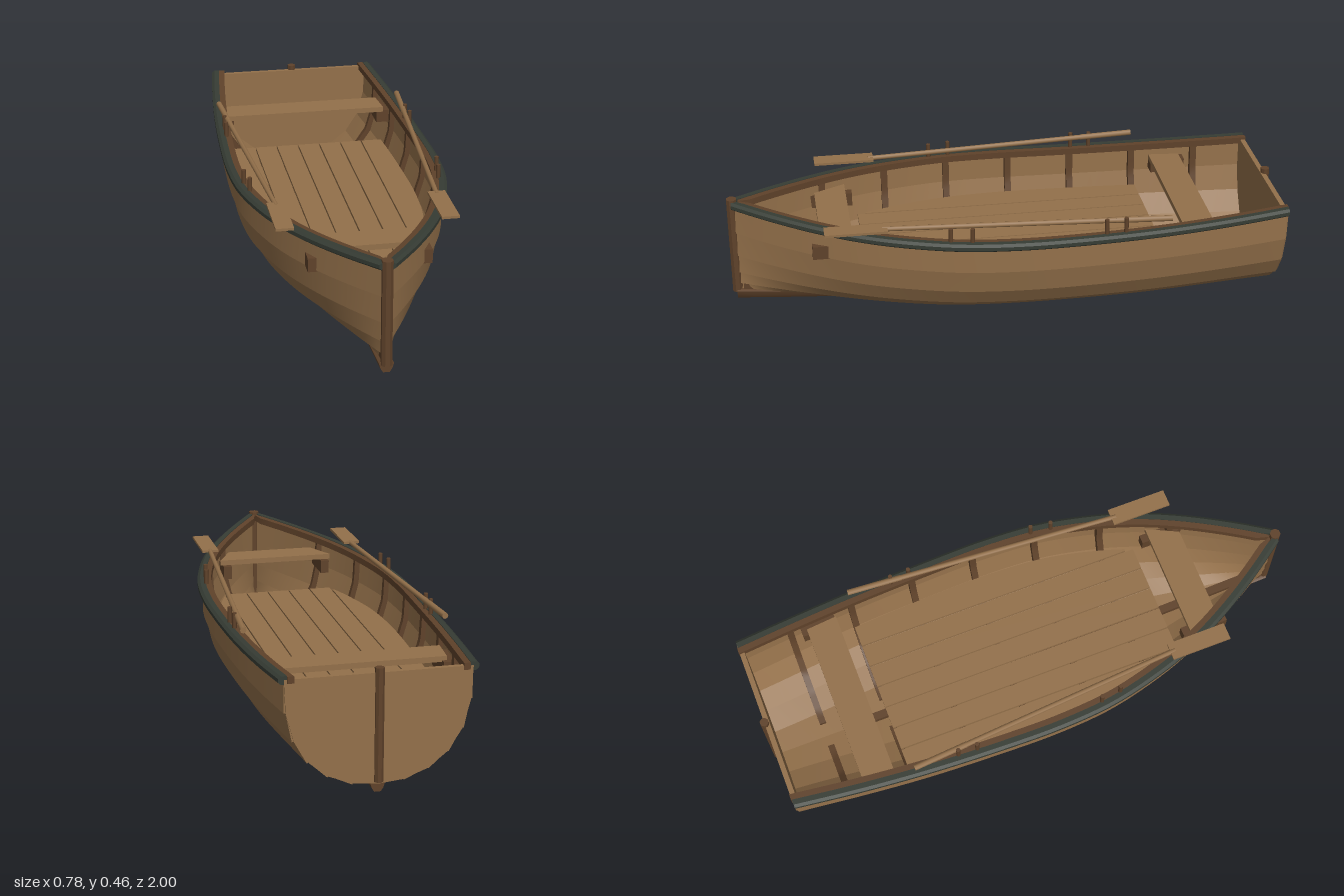
import * as THREE from 'three';
import { toCreasedNormals } from 'three/addons/utils/BufferGeometryUtils.js';

const mat = (name, color) => {
  const m = new THREE.MeshStandardMaterial({ color });
  m.name = name;
  return m;
};

// Smooth interpolation through [z, value] pairs
function curveOf(pts) {
  const slope = i => {
    const a = pts[Math.max(i - 1, 0)], b = pts[Math.min(i + 1, pts.length - 1)];
    return (b[1] - a[1]) / (b[0] - a[0]);
  };
  return z => {
    let i = 0;
    while (i < pts.length - 2 && z > pts[i + 1][0]) i++;
    const [z0, a] = pts[i], [z1, b] = pts[i + 1], h = z1 - z0, t = (z - z0) / h;
    const t2 = t * t, t3 = t2 * t;
    return (2 * t3 - 3 * t2 + 1) * a + (t3 - 2 * t2 + t) * h * slope(i)
      + (3 * t2 - 2 * t3) * b + (t3 - t2) * h * slope(i + 1);
  };
}

// Hull lines: half beam, sheer height, bottom height
const beam = curveOf([[-0.98, 0.312], [-0.75, 0.337], [-0.5, 0.357], [-0.2, 0.37], [0, 0.372], [0.2, 0.357],
  [0.4, 0.312], [0.55, 0.26], [0.7, 0.187], [0.85, 0.097], [0.98, 0.008]]);
const sheer = z => 0.398 + (z > -0.2 ? 0.05 * ((z + 0.2) / 1.18) ** 2 : 0.026 * ((z + 0.2) / 0.78) ** 2);
const bottom = z => 0.032 + 0.053 * (Math.max(0, z + 0.3) / 1.28) ** 2;
const U = [0, 0.336, 0.59, 0.78, 0.914, 0.985, 1];
const V = [0, 0.022, 0.104, 0.243, 0.443, 0.7, 1];
const bow = z => THREE.MathUtils.smoothstep(z, 0.2, 1);
const fullness = z => 1 + 0.5 * bow(z) + 0.2 * THREE.MathUtils.smoothstep(-z, 0.4, 1);

// Hull section point at girth position j (0 keel .. 6 sheer)
function hull(z, j) {
  const i = Math.min(Math.floor(j), 5), f = j - i, e = fullness(z), d = 1 + 0.08 * bow(z);
  const w = beam(z), k = bottom(z), h = sheer(z) - 0.012 - k;
  return new THREE.Vector2(w * THREE.MathUtils.lerp(U[i] ** e, U[i + 1] ** e, f),
    k + h * THREE.MathUtils.lerp(V[i] ** d, V[i + 1] ** d, f));
}
function hullXAt(z, y) {
  for (let j = 0; j < 6; j++) {
    const a = hull(z, j), b = hull(z, j + 1);
    if (y <= b.y) return a.x + (b.x - a.x) * Math.max(0, (y - a.y) / (b.y - a.y));
  }
  return beam(z);
}
const outward = (a, b) => new THREE.Vector2(b.y - a.y, a.x - b.x).normalize();

// Capped solid through rings of [x, y, z]; winding fixed from its volume
function loft(rings, crease = 0.5) {
  const n = rings[0].length, pos = rings.flat(2), idx = [];
  for (let r = 0; r < rings.length - 1; r++)
    for (let i = 0; i < n; i++) {
      const a = r * n + i, b = r * n + (i + 1) % n;
      idx.push(a, b, b + n, a, b + n, a + n);
    }
  const last = (rings.length - 1) * n;
  for (let i = 1; i < n - 1; i++) idx.push(0, i + 1, i, last, last + i, last + i + 1);
  const P = i => new THREE.Vector3().fromArray(pos, i * 3);
  let vol = 0;
  for (let i = 0; i < idx.length; i += 3) vol += P(idx[i]).dot(P(idx[i + 1]).cross(P(idx[i + 2])));
  if (vol < 0) idx.reverse();
  const g = new THREE.BufferGeometry();
  g.setAttribute('position', new THREE.Float32BufferAttribute(pos, 3));
  g.setIndex(idx);
  return toCreasedNormals(g, crease);
}
const range = (a, b, n) => Array.from({ length: n + 1 }, (_, i) => a + (b - a) * i / n);

export function createModel() {
  const plank = mat('plank wood', 0x93704a);
  const frame = mat('dark frame wood', 0x5f422a);
  const rail = mat('dark green rail', 0x363c34);
  const boat = new THREE.Group();
  boat.name = 'rowingBoat';
  const add = (name, geo, m, x = 0, y = 0, z = 0) => {
    const mesh = new THREE.Mesh(geo, m);
    mesh.name = name;
    mesh.position.set(x, y, z);
    boat.add(mesh);
  };
  const box = (name, w, h, d, m, x, y, z) => add(name, new THREE.BoxGeometry(w, h, d), m, x, y, z);
  const stations = range(-0.98, 0.98, 44);

  for (const s of [1, -1]) {
    const side = s > 0 ? 'left' : 'right';

    // Overlapping hull planks
    for (let i = 0; i < 6; i++)
      add(side + 'HullPlank', loft(stations.map(z => {
        const a = hull(z, i), b = hull(z, i + 1), n = outward(a, b);
        const lap = i ? 0.006 : 0;
        return [[a, lap], [b, 0], [b, -0.008], [a, -0.008]].map(([p, o]) =>
          [s * Math.max(0, p.x + n.x * o), p.y + n.y * o, z]);
      })), plank);

    // Outer rub rail and inner gunwale, following the sheer
    const strip = (profile, z0, z1) => loft(range(z0, z1, 44).map(z => {
      const slope = (beam(z + 0.005) - beam(z - 0.005)) / 0.01, k = Math.sqrt(1 + slope * slope);
      return profile.map(([x, y]) => [s * Math.max(0, beam(z) + x * k), sheer(z) + y, z]);
    }));
    add(side + 'RubRail', strip([[-0.01, 0], [0.009, 0], [0.019, -0.008], [0.019, -0.021], [0.009, -0.029],
      [-0.01, -0.029]], -0.985, 0.985), rail);
    add(side + 'Gunwale', strip([[-0.01, -0.002], [-0.032, -0.002], [-0.032, -0.026], [-0.01, -0.026]],
      -0.988, 0.96), frame);

    // Curved ribs inside the planking
    for (const z of [-0.79, -0.55, -0.31, -0.07, 0.17, 0.41, 0.65])
      add(side + 'Rib', loft(range(0.5, 5.9, 22).map(j => {
        const p = hull(z, j), n = outward(hull(z, Math.max(0, j - 0.4)), hull(z, Math.min(6, j + 0.4)));
        return [[-0.006, -0.012], [-0.006, 0.012], [-0.026, 0.012], [-0.026, -0.012]].map(([o, dz]) =>
          [s * Math.max(0, p.x + n.x * o), p.y + n.y * o, z + dz]);
      })), frame);

    // Blocks carrying the seats
    box(side + 'FrontSeatBlock', 0.032, 0.05, 0.17, frame, s * 0.196, 0.325, 0.625);
    box(side + 'RearSeatBlock', 0.05, 0.05, 0.13, frame, s * 0.312, 0.32, -0.685);

    // Pairs of pins holding the oars
    for (const z of [0.235, 0.16, -0.315, -0.385]) {
      const pin = new THREE.CylinderGeometry(0.008, 0.008, 0.07, 8);
      add(side + 'OarPin', pin, frame, s * (beam(z) - 0.012), 0.419, z);
    }

    // Oar: shaft, grip and flat blade
    const oar = new THREE.Group();
    oar.name = side + 'Oar';
    const part = (name, geo, z) => {
      const mesh = new THREE.Mesh(geo.rotateX(Math.PI / 2), plank);
      mesh.name = name;
      mesh.position.z = z;
      oar.add(mesh);
    };
    part('oarShaft', new THREE.CylinderGeometry(0.009, 0.01, 1.02, 8), 0.01);
    part('oarGrip', new THREE.CylinderGeometry(0.011, 0.011, 0.2, 8), -0.4);
    oar.position.set(s * 0.317, 0.441, -0.05);
    oar.rotation.y = -s * 0.072;
    boat.add(oar);
    box(side + 'OarBlade', 0.062, 0.009, 0.22, plank, s * 0.281, 0.443, 0.56);
  }

  // Floor boards, trimmed parallel to the hull sides
  const floorY = 0.238;
  for (let i = -3; i <= 3; i++) {
    const s = i < 0 ? -1 : 1, c = Math.abs(i) * 0.085;
    const inner = c - 0.04, outer = Math.abs(i) === 3 ? c + 0.065 : c + 0.04;
    const edge = z => Math.min(outer, hullXAt(z, floorY) - 0.042);
    const zs = range(-0.56, 0.52, 36).filter(z => edge(z) > inner + 0.002);
    const pts = [[inner, zs[0]], ...zs.map(z => [edge(z), z]), [inner, zs[zs.length - 1]]];
    const shape = new THREE.Shape(pts.map(([x, z]) => new THREE.Vector2(s * x, -z)));
    const g = new THREE.ExtrudeGeometry(shape, { depth: 0.012, bevelEnabled: false });
    add('floorBoard', g.rotateX(-Math.PI / 2), plank, 0, floorY - 0.006, 0);
  }

  // Seats
  const seat = (name, z0, z1, y, inset) => add(name, loft([z0, z1].map(z => {
    const x = hullXAt(z, y) - inset;
    return [[-x, y - 0.01, z], [x, y - 0.01, z], [x, y + 0.01, z], [-x, y + 0.01, z]];
  })), plank);
  seat('frontSeat', 0.565, 0.68, 0.36, 0.03);
  seat('rearSeat', -0.73, -0.615, 0.35, 0.033);

  // Keel below and keelson inside
  add('keel', loft(range(-0.975, 0.985, 32).map(z => {
    const k = bottom(z);
    return [[-0.011, -0.032], [0.011, -0.032], [0.02, -0.018], [0.025, 0], [0.014, 0.006],
      [-0.014, 0.006], [-0.025, 0], [-0.02, -0.018]].map(([x, y]) => [x, k + y, z]);
  })), frame);
  add('keelson', loft(range(-0.68, 0.96, 32).map(z => {
    const k = bottom(z);
    return [[-0.015, k, z], [0.015, k, z], [0.015, k + 0.03, z], [-0.015, k + 0.03, z]];
  })), frame);

  // Transom
  const half = range(0, 6, 6).map(j => hull(-0.98, j));
  const outline = [...half, ...half.slice(1).reverse().map(p => new THREE.Vector2(-p.x, p.y))];
  add('transom', new THREE.ExtrudeGeometry(new THREE.Shape(outline), { depth: 0.018, bevelEnabled: false }),
    plank, 0, 0, -0.986);

  // Faceted stem and stern posts
  const post = (name, r, h, y, z) => add(name,
    toCreasedNormals(new THREE.CylinderGeometry(r, r, h, 8).rotateY(Math.PI / 8), 0.5), frame, 0, y, z);
  post('stem', 0.0195, 0.375, 0.2675, 0.982);
  post('sternPost', 0.016, 0.39, 0.235, -0.985);

  return boat;
}
